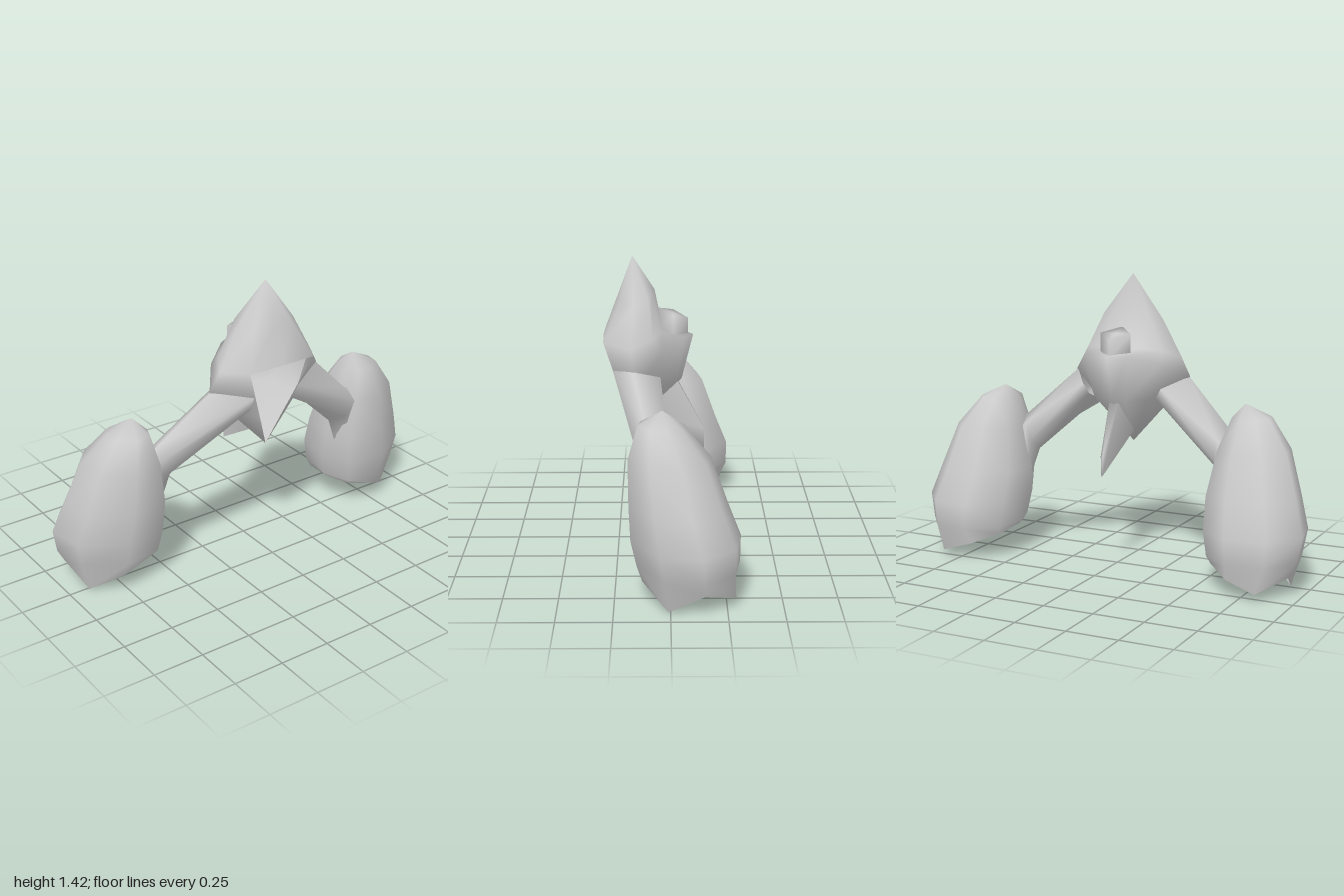
import * as THREE from 'three';
import { mergeVertices } from 'three/addons/utils/BufferGeometryUtils.js';

const material = new THREE.MeshStandardMaterial({ color: 0xcccccc, side: THREE.DoubleSide });

// Smooth skin through closed rows of [x, y, z] points; hole(i, j) skips a quad
function loft(name, rows, hole = () => false) {
  const n = rows[0].length;
  const index = [];
  for (let i = 0; i < rows.length - 1; i++) {
    for (let j = 0; j < n; j++) {
      if (hole(i, j)) continue;
      const a = i * n + j, b = i * n + (j + 1) % n, c = a + n, d = b + n;
      index.push(a, b, c, b, d, c);
    }
  }
  let geometry = new THREE.BufferGeometry();
  geometry.setAttribute('position', new THREE.Float32BufferAttribute(rows.flat(2), 3));
  geometry.setIndex(index);
  geometry = mergeVertices(geometry, 1e-4);
  geometry.computeVertexNormals();
  const mesh = new THREE.Mesh(geometry, material);
  mesh.name = name;
  return mesh;
}

const mirrorRow = (row, s) => row.map(([x, y, z]) => [x * s, y, z]);
const repeat = (p, n) => Array(n).fill(p);

// Hollow diamond body, open at the triangular mouth.
// Half rows run from front centre to back centre and are mirrored.
function body() {
  const half = [
    repeat([0, 1.42, 0.175], 6),
    [[0, 1.22, 0.25], [0.1, 1.22, 0.235], [0.165, 1.2, 0.17], [0.12, 1.23, 0.1], [0.06, 1.25, 0.08], [0, 1.26, 0.07]],
    [[0, 1.04, 0.315], [0.18, 1.04, 0.31], [0.26, 1.02, 0.18], [0.2, 1.06, 0.08], [0.1, 1.07, 0.04], [0, 1.07, 0.03]],
    [[0, 0.9, 0.271], [0.124, 0.9, 0.271], [0.31, 0.93, 0.17], [0.21, 1.0, 0.035], [0.08, 1.04, -0.07], [0, 1.04, -0.115]],
    [[0, 0.765, 0.234], [0.07, 0.765, 0.234], [0.19, 0.79, 0.17], [0.14, 0.82, 0.03], [0.06, 0.82, -0.035], [0, 0.82, -0.06]],
    repeat([0, 0.585, 0.185], 6),
  ];
  const rows = half.map(r => [...r, ...mirrorRow(r.slice(1, -1).reverse(), -1)]);
  const last = rows[0].length - 1;
  return loft('body', rows, (i, j) => i >= 2 && (j === 0 || j === last));
}

// Arm: tube from the mouth edge and body side, sinking into the pod
function arm(s) {
  const rows = [
    [[0.305, 0.93, 0.172], [0.126, 0.89, 0.268], [0.12, 0.81, 0.225], [0.185, 0.79, 0.16], [0.18, 0.83, 0.05], [0.21, 0.88, 0.042]],
    [[0.55, 0.7, 0.1], [0.57, 0.64, 0.155], [0.52, 0.56, 0.14], [0.48, 0.52, 0.08], [0.5, 0.57, 0.01], [0.52, 0.66, 0.01]],
    [[0.62, 0.66, 0.09], [0.64, 0.59, 0.14], [0.58, 0.47, 0.12], [0.52, 0.4, 0.07], [0.54, 0.43, 0.03], [0.6, 0.6, 0.04]],
  ];
  return loft('arm', rows.map(r => mirrorRow(r, s)));
}

// Pod: hollow eight-sided shell, open at its uneven lower rim
function pod(s) {
  const octagon = [[0.51, -0.88], [1, -0.28], [0.86, 0.47], [0.04, 1], [-0.76, 0.88], [-1, 0.27], [-0.88, -0.52], [-0.27, -1]];
  // y, x from, x to, z from, z to
  const levels = [
    [0.785, 0.59, 0.775, -0.06, 0.145],
    [0.64, 0.54, 0.885, -0.18, 0.188],
    [0.43, 0.503, 0.955, -0.255, 0.185],
    [0.28, 0.508, 1, -0.315, 0.177],
    [0.16, 0.53, 0.978, -0.313, 0.15],
  ];
  const rim = [[0.83, 0.035, -0.29], [0.94, 0.09, -0.15], [0.9, 0, 0.01], [0.77, 0.09, 0.125],
    [0.6, 0.13, 0.1], [0.55, 0.14, -0.02], [0.57, 0.12, -0.18], [0.68, 0.08, -0.27]];
  const rows = [
    repeat([0.65, 0.845, 0.035], 8),
    ...levels.map(([y, x0, x1, z0, z1]) => octagon.map(([u, v]) =>
      [(x0 + x1 + u * (x1 - x0)) / 2, y, (z0 + z1 + v * (z1 - z0)) / 2])),
    rim,
  ];
  return loft('pod', rows.map(r => mirrorRow(r, s)));
}

// Slanted square block standing on the back shelf
function backBlock() {
  const ring = (front, mid, back) => [[0, front, 0.055], [0.08, mid, -0.02], [0, back, -0.09], [-0.08, mid, -0.02]];
  return loft('backBlock', [repeat([0, 1.145, -0.02], 4), ring(1.17, 1.145, 1.12), ring(1.06, 1.04, 1.03)]);
}

// Tail fin: narrow wedge from the lower back, thinning to an upright blade edge
function tailFin() {
  return loft('tailFin', [
    [[-0.025, 0.82, -0.035], [0.025, 0.82, -0.035], [0.03, 0.65, 0.125], [-0.03, 0.65, 0.125]],
    [[-0.005, 0.57, -0.17], [0.005, 0.57, -0.17], [0.002, 0.47, -0.17], [-0.002, 0.47, -0.17]],
    repeat([0, 0.52, -0.17], 4),
  ]);
}

export function createModel() {
  const model = new THREE.Group();
  model.name = 'model';
  model.add(body(), backBlock(), tailFin());
  for (const [side, s] of [['left', 1], ['right', -1]]) {
    const limb = new THREE.Group();
    limb.name = side + 'Limb';
    limb.add(arm(s), pod(s));
    model.add(limb);
  }
  return model;
}
